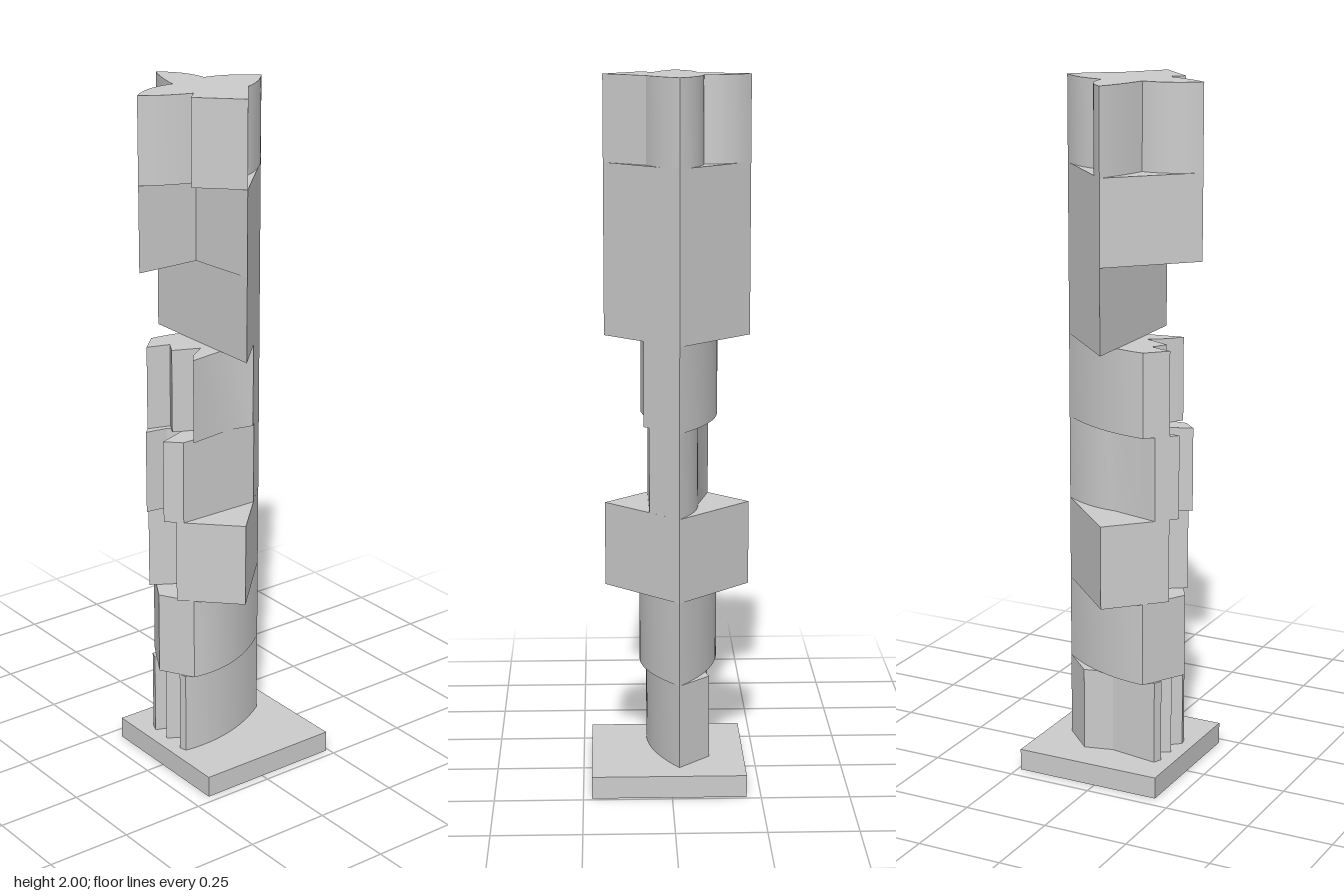
import * as THREE from 'three';
import { toCreasedNormals } from 'three/addons/utils/BufferGeometryUtils.js';

const material = new THREE.MeshStandardMaterial({ color: 0xcccccc });
const BASE_HEIGHT = 0.063;
const STEP = (2 - BASE_HEIGHT) / 8;

// Corners of the turned square that every block is carved from
const L = [-0.227, 0.033], R = [0.184, 0.033], B = [-0.022, -0.172], F = [-0.022, 0.24];

// Plan outlines [x, z], bottom to top; four numbers mean a curve: control x, z, end x, z
const outlines = [
  // fluted foot
  [B, [-0.11, -0.083], [-0.09, 0], [-0.115, 0.145], [-0.09, 0.155], [-0.065, 0.09], [-0.03, 0.158],
    [0, 0.11], [0.04, 0.16], [0.062, 0.155], [0.085, -0.01, ...B]],
  // rounded drum with a pointed front
  [B, [-0.13, -0.04, -0.14, 0.12], [-0.015, 0.192], [0.08, 0.137], [0.11, -0.01, ...B]],
  // wide block with a V notch
  [B, L, [-0.085, 0.175], [-0.022, 0.07], [0.045, 0.172], R],
  // narrow block with a front slot
  [B, [-0.08, -0.09, -0.08, 0], [-0.115, 0.145], [-0.065, 0.195], [-0.055, 0.13], [-0.02, 0.09],
    [0.02, 0.197], [0.06, 0.157], [0.06, -0.09]],
  // faceted block
  [B, [-0.13, -0.04, -0.14, 0.12], [-0.085, 0.175], [-0.065, 0.11], [-0.022, 0.135], [0.01, 0.06],
    [0.045, 0.11], [0.08, 0.137], [0.06, 0], [0.075, -0.075], [0.035, -0.115]],
  // half square
  [B, L, R],
  // three-quarter square
  [B, L, F, [-0.022, 0.05], R],
  // curved star
  [B, [-0.085, -0.115, -0.093, -0.03], [-0.17, -0.035, ...L], [-0.165, 0.065, -0.078, 0.085],
    [-0.088, 0.17, ...F], [0.02, 0.185, 0.043, 0.105], [0.078, 0.139], R, [0.066, -0.06], [0.04, -0.12, ...B]],
];
const names = ['flutedFoot', 'roundedBlock', 'wideBlock', 'slottedBlock', 'facetedBlock',
  'halfBlock', 'cornerBlock', 'starBlock'];

// Extrudes a plan outline upwards
function blockGeometry(points) {
  const shape = new THREE.Shape();
  points.forEach((p, i) => {
    if (i === 0) shape.moveTo(p[0], -p[1]);
    else if (p.length === 4) shape.quadraticCurveTo(p[0], -p[1], p[2], -p[3]);
    else shape.lineTo(p[0], -p[1]);
  });
  shape.closePath();
  const geometry = new THREE.ExtrudeGeometry(shape, { depth: STEP, bevelEnabled: false, curveSegments: 12 });
  geometry.rotateX(-Math.PI / 2);
  return toCreasedNormals(geometry, 0.4);
}

export function createModel() {
  const model = new THREE.Group();
  model.name = 'columnSculpture';

  // Square plinth
  const plinth = new THREE.Mesh(new THREE.BoxGeometry(0.435, BASE_HEIGHT, 0.435), material);
  plinth.name = 'plinth';
  plinth.position.set(0.008, BASE_HEIGHT / 2, -0.023);
  model.add(plinth);

  // Eight stacked blocks
  outlines.forEach((points, i) => {
    const block = new THREE.Mesh(blockGeometry(points), material);
    block.name = names[i];
    block.position.y = BASE_HEIGHT + i * STEP;
    model.add(block);
  });
  return model;
}
